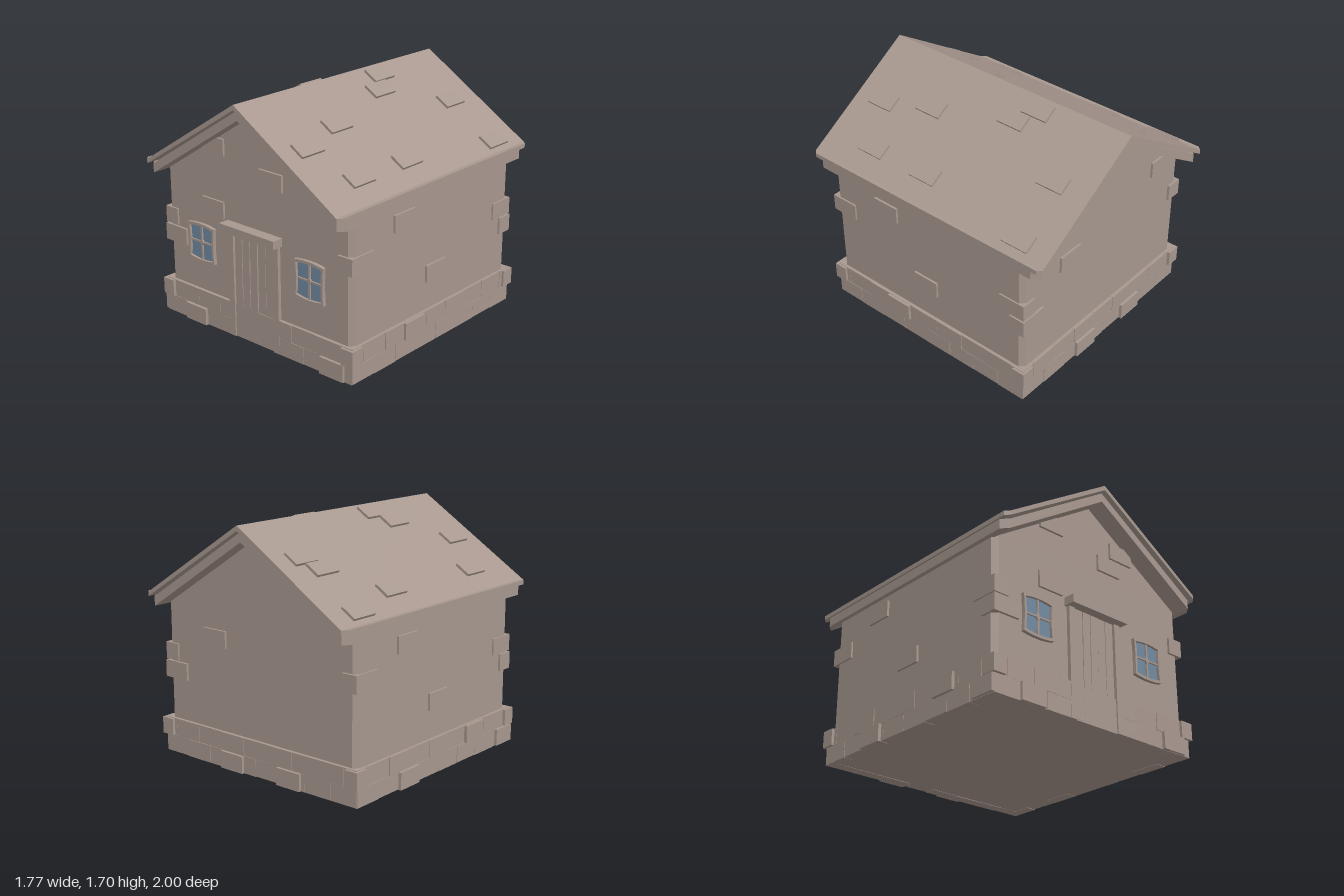
import * as THREE from 'three';

export function createModel() {
  const house = new THREE.Group();
  house.name = 'house';
  const stone = new THREE.MeshStandardMaterial({ color: 0xa8988f });
  stone.name = 'stone';
  const glass = new THREE.MeshStandardMaterial({ color: 0x7189a0 });
  glass.name = 'glass';

  let seed = 7;
  const rand = () => (seed = (seed * 16807) % 2147483647) / 2147483647;

  function add(parent, name, geo, mat = stone) {
    const mesh = new THREE.Mesh(geo, mat);
    mesh.name = name;
    parent.add(mesh);
    return mesh;
  }
  // Box given by its lower and upper limits on each axis
  function box(parent, name, x0, x1, y0, y1, z0, z1) {
    const mesh = add(parent, name, new THREE.BoxGeometry(x1 - x0, y1 - y0, z1 - z0));
    mesh.position.set((x0 + x1) / 2, (y0 + y1) / 2, (z0 + z1) / 2);
    return mesh;
  }
  const shapeOf = (pts) => new THREE.Shape(pts.map(([x, y]) => new THREE.Vector2(x, y)));
  // Outline in the xy plane, pulled along z
  function extrudeZ(shape, z0, z1) {
    const geo = new THREE.ExtrudeGeometry(shape, { depth: z1 - z0, bevelEnabled: false, curveSegments: 6 });
    return geo.translate(0, 0, z0);
  }
  // Outline in plan, pulled upwards
  function extrudeY(pts, y0, y1) {
    const geo = new THREE.ExtrudeGeometry(shapeOf(pts), { depth: y1 - y0, bevelEnabled: false });
    return geo.rotateX(-Math.PI / 2).translate(0, y0, 0);
  }

  // Walls with chamfered corners, and the gable above them
  const a = 0.84, c = 0.805;
  add(house, 'walls', extrudeY([[c, -a], [a, -c], [a, c], [c, a], [-c, a], [-a, c], [-a, -c], [-c, -a]], 0.005, 1.1));
  add(house, 'gable', extrudeZ(shapeOf([[-0.805, 1.09], [0.805, 1.09], [0, 1.62]]), -a, a));

  // One roof layer: a bent slab plus an eave strip with cut corners on each side
  function roofLayer(name, ridge, thick, xIn, xOut, eaveTop, eaveBottom, z, cut) {
    add(house, name, extrudeZ(shapeOf([
      [0, ridge], [-xIn, eaveTop], [-xIn, eaveBottom], [0, ridge - thick], [xIn, eaveBottom], [xIn, eaveTop],
    ]), -z, z));
    for (const s of [1, -1]) {
      const pts = [[s * xIn, -z], [s * xOut, -z + cut], [s * xOut, z - cut], [s * xIn, z]];
      add(house, name + 'Eave', extrudeY(s > 0 ? pts : pts.reverse(), eaveBottom, eaveTop));
    }
  }
  roofLayer('roof', 1.7, 0.035, 0.85, 0.88, 1.163, 1.132, 1, 0.03);
  roofLayer('roofTrim', 1.655, 0.065, 0.825, 0.87, 1.13, 1.063, 0.968, 0.05);

  // Raised roof tiles, as x and z of their centres
  const tiles = [
    [-0.765, -0.74], [-0.425, -0.68], [-0.32, -0.76], [-0.675, -0.3], [-0.08, 0.245], [-0.18, 0.37],
    [-0.675, 0.595], [-0.405, 0.765], [0.405, -0.715], [0.765, -0.74], [0.08, -0.325], [0.185, -0.205],
    [0.68, 0.12], [0.32, 0.395], [0.405, 0.765], [0.68, 0.595],
  ];
  const slope = (1.7 - 1.163) / 0.85;
  for (const [x, z] of tiles) {
    const tile = add(house, 'roofTile', new THREE.BoxGeometry(0.118, 0.036, 0.205));
    tile.position.set(x, 1.7 - Math.abs(x) * slope, z);
    tile.rotation.z = -Math.sign(x) * Math.atan(slope);
  }

  // Four sides, each in its own frame: x runs along the wall, z points outwards
  const sides = ['front', 'left', 'back', 'right'].map((name, k) => {
    const side = new THREE.Group();
    side.name = name + 'Stonework';
    side.rotation.y = k * Math.PI / 2;
    house.add(side);
    return side;
  });

  // Two courses of base blocks in running bond, open at the door
  const e = 0.86, len = 0.215;
  sides.forEach((side, k) => {
    const spans = k === 0 ? [[-e, -0.23], [0.23, e]] : [[-e, e]];
    for (const [u0, u1] of spans) {
      for (let row = 0; row < 2; row++) {
        for (let u = u0 - row * len / 2; u < u1 - 0.01; u += len) {
          const from = Math.max(u, u0), to = Math.min(u + len, u1);
          box(side, 'baseBlock', from + 0.001, to - 0.001, row * 0.125 + (row ? 0 : rand() * 0.006),
            row * 0.125 + 0.124, 0.78, e + rand() * 0.006);
        }
      }
    }
  });
  box(house, 'floor', -0.855, 0.855, 0.004, 0.24, -0.855, 0.855);

  // Base blocks that stand out: side, centre along the wall, bottom
  const proud = [[0, -0.555, 0.002], [0, 0.7, 0.005], [1, -0.25, 0.127], [2, -0.21, 0.002],
    [2, 0.3, 0.002], [3, 0.4, 0.127], [3, -0.34, 0.002]];
  for (const [k, u, y] of proud) box(sides[k], 'proudBaseBlock', u - 0.1, u + 0.1, y, y + 0.12, 0.8, 0.884);
  for (const sx of [1, -1]) {
    for (const sz of [1, -1]) {
      const block = box(house, 'baseCornerBlock', -0.05, 0.05, 0.127, 0.245, -0.05, 0.05);
      block.position.x = sx * 0.83;
      block.position.z = sz * 0.833;
    }
  }
  box(house, 'baseCornerBlock', -0.882, -0.78, 0.005, 0.122, 0.68, 0.866);

  // Single stones in the walls: side, centre along the wall, bottom
  const wallStones = [[0, -0.375, 0.83], [0, 0.162, 1.14], [0, -0.36, 1.27], [0, 0.283, 1.27],
    [1, -0.343, 0.903], [1, 0, 0.45], [2, -0.375, 0.83], [2, 0.6, 1.05],
    [3, -0.343, 0.903], [3, 0, 0.45]];
  for (const [k, u, y] of wallStones) box(sides[k], 'wallStone', u - 0.102, u + 0.102, y, y + 0.118, 0.8, 0.856);

  // Corner stones, the same on diagonally opposite corners
  for (const k of [0, 2]) {
    box(sides[k], 'cornerStone', 0.733, 0.853, 0.735, 0.853, 0.65, 0.857);
    box(sides[k], 'cornerStone', -0.851, -0.735, 0.67, 0.788, 0.65, 0.853);
    box(sides[k], 'cornerStone', -0.855, -0.65, 0.54, 0.66, 0.735, 0.857);
  }

  // Door: frame posts, lintel and five slightly tapered planks
  const door = new THREE.Group();
  door.name = 'door';
  house.add(door);
  for (const s of [1, -1]) {
    box(door, 'doorPost', Math.min(s * 0.18, s * 0.23), Math.max(s * 0.18, s * 0.23), 0.004, 0.775, 0.8, 0.865);
  }
  box(door, 'lintel', -0.248, 0.248, 0.772, 0.83, 0.8, 0.922);
  for (let i = 0; i < 5; i++) {
    const x = (i - 2) * 0.07, w = 0.0345, t = 0.002 + rand() * 0.003;
    add(door, 'doorPlank', extrudeZ(shapeOf([
      [x - w, 0.012], [x + w, 0.012], [x + w - t, 0.42], [x + w, 0.772], [x - w + t, 0.772], [x - w, 0.38],
    ]), 0.82, 0.85 + rand() * 0.006));
  }

  // Outline with bowed top and bottom and slightly pinched sides
  function bowed(Kind, w, h, bow) {
    const p = new Kind();
    p.moveTo(-w, -h);
    p.quadraticCurveTo(0, -h - bow, w, -h);
    p.quadraticCurveTo(w - 0.012, 0, w, h);
    p.quadraticCurveTo(0, h + bow, -w, h);
    p.quadraticCurveTo(-w + 0.012, 0, -w, -h);
    return p;
  }
  // Windows: frame, glass, crossing bars and a centre boss
  for (const s of [1, -1]) {
    const win = new THREE.Group();
    win.name = 'window';
    win.position.set(s * 0.495, 0.602, 0);
    house.add(win);
    const frame = bowed(THREE.Shape, 0.127, 0.129, 0.026);
    frame.holes.push(bowed(THREE.Path, 0.11, 0.111, 0.024));
    add(win, 'windowFrame', extrudeZ(frame, 0.82, 0.866));
    add(win, 'windowGlass', extrudeZ(bowed(THREE.Shape, 0.112, 0.113, 0.024), 0.839, 0.847), glass);
    box(win, 'windowBar', -0.007, 0.007, -0.122, 0.122, 0.84, 0.858);
    box(win, 'windowBar', -0.106, 0.106, -0.001, 0.011, 0.84, 0.857);
    add(win, 'windowBoss', extrudeZ(shapeOf([[0, -0.028], [0.018, 0.005], [0, 0.038], [-0.018, 0.005]]), 0.84, 0.86));
  }
  return house;
}
